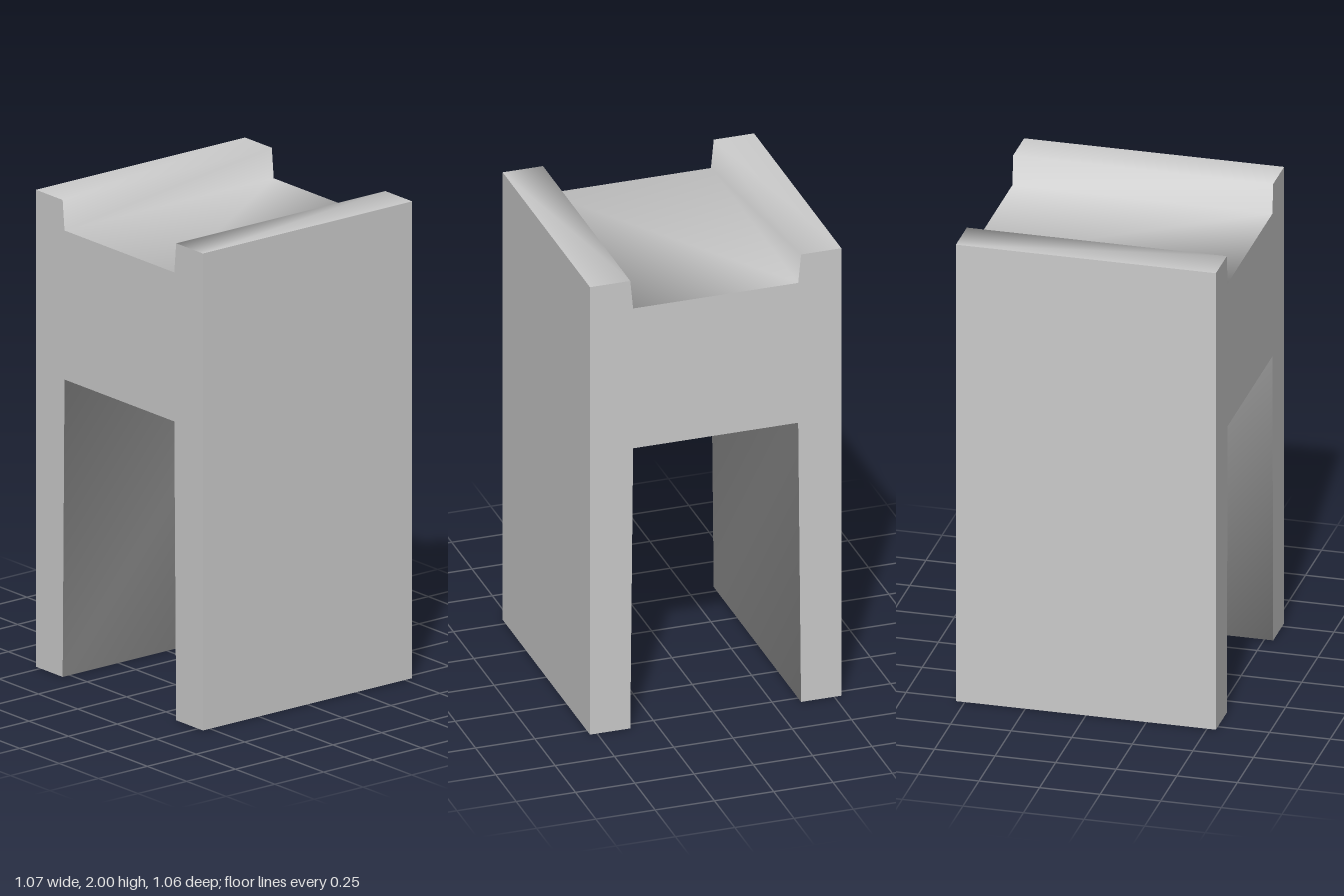
import * as THREE from 'three';
import { toCreasedNormals } from 'three/addons/utils/BufferGeometryUtils.js';

export function createModel() {
  const group = new THREE.Group();
  group.name = 'stool';
  const width = 1.073;

  // Half of the H-shaped side profile: [depth, height], from seat to underside
  const half = [
    [0.348, 1.875], [0.36, 2], [0.53, 2],
    [0.53, 0], [0.36, 0], [0.348, 1.25],
  ];
  const mirrored = half.map(([d, h]) => [-d, h]).reverse();
  const profile = new THREE.Shape([...half, ...mirrored].map(([d, h]) => new THREE.Vector2(d, h)));

  // Sweep the profile across the width; the slightly drafted inner corners shade smoothly
  const sweep = new THREE.ExtrudeGeometry(profile, { depth: width, bevelEnabled: false });
  sweep.translate(0, 0, -width / 2);
  sweep.rotateY(Math.PI / 2);
  const geometry = toCreasedNormals(sweep, THREE.MathUtils.degToRad(89.8));

  const body = new THREE.Mesh(geometry, new THREE.MeshStandardMaterial({ color: 0xcccccc }));
  body.name = 'seatAndLegs';
  group.add(body);
  return group;
}
